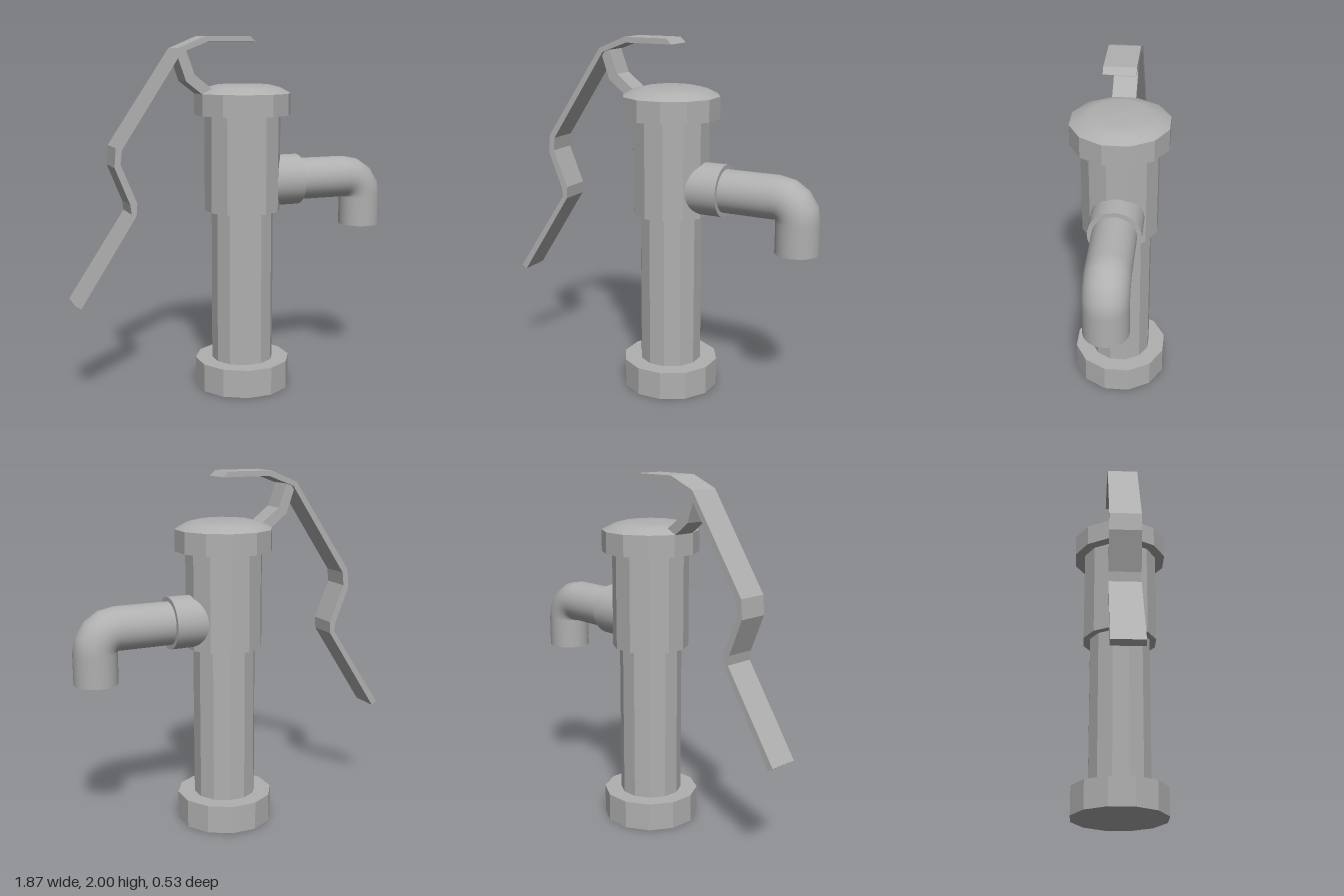
import * as THREE from 'three';

const AXIS_X = 0.055; // centre line of the column
const SPOUT_Y = 1.19;

export function createModel() {
  const pump = new THREE.Group();
  pump.name = 'handPump';
  const iron = new THREE.MeshStandardMaterial({ color: 0xb0b0b0 });
  iron.name = 'grey iron';

  function add(name, geometry, x = 0, y = 0, z = 0) {
    const mesh = new THREE.Mesh(geometry, iron);
    mesh.name = name;
    mesh.position.set(x, y, z);
    pump.add(mesh);
    return mesh;
  }

  // Twelve-sided faceted drum on the column axis
  function drum(name, radius, y0, y1) {
    const g = new THREE.CylinderGeometry(radius, radius, y1 - y0, 12, 1, false, Math.PI / 12).toNonIndexed();
    g.computeVertexNormals();
    add(name, g, AXIS_X, (y0 + y1) / 2);
  }
  drum('base', 0.272, 0, 0.16);
  drum('lowerColumn', 0.176, 0.16, 1.03);
  drum('upperColumn', 0.215, 1.03, 1.57);
  drum('capRim', 0.272, 1.57, 1.69);

  // Softly rounded lid on the cap
  const lid = [[0.272, 1.69], [0.21, 1.722], [0.15, 1.737], [0, 1.74]];
  add('capDome', new THREE.LatheGeometry(lid.map(p => new THREE.Vector2(...p)), 12, Math.PI / 12), AXIS_X);

  // Spout: collar, straight pipe, elbow and outlet
  function pipeX(name, radius, x0, x1) {
    const g = new THREE.CylinderGeometry(radius, radius, x1 - x0, 32).rotateZ(-Math.PI / 2);
    add(name, g, (x0 + x1) / 2, SPOUT_Y);
  }
  pipeX('spoutCollar', 0.145, 0.1, 0.39);
  pipeX('spoutPipe', 0.12, 0.38, 0.69);
  add('spoutElbow', new THREE.TorusGeometry(0.1205, 0.12, 32, 4, Math.PI / 2), 0.69, 1.07);
  add('spoutOutlet', new THREE.CylinderGeometry(0.12, 0.12, 0.17, 32), 0.81, 0.985);

  // Flat bars cut from a side outline
  function bar(name, outline, width) {
    const shape = new THREE.Shape(outline.map(p => new THREE.Vector2(...p)));
    add(name, new THREE.ExtrudeGeometry(shape, { depth: width, bevelEnabled: false }), 0, 0, -width / 2);
  }
  bar('handle', [
    [-0.937, 0.585], [-0.62, 1.06], [-0.627, 1.113], [-0.708, 1.314], [-0.7, 1.42], [-0.35, 1.935],
    [-0.193, 2], [0.066, 2], [0.098, 1.97], [-0.18, 1.97], [-0.33, 1.913], [-0.667, 1.405],
    [-0.675, 1.33], [-0.588, 1.118], [-0.593, 1.05], [-0.907, 0.565],
  ], 0.17);
  bar('handleStrut', [
    [-0.35, 1.905], [-0.3, 1.76], [-0.2, 1.683], [-0.12, 1.63], [-0.1, 1.68],
    [-0.15, 1.717], [-0.25, 1.795], [-0.3, 1.93],
  ], 0.13);

  return pump;
}
